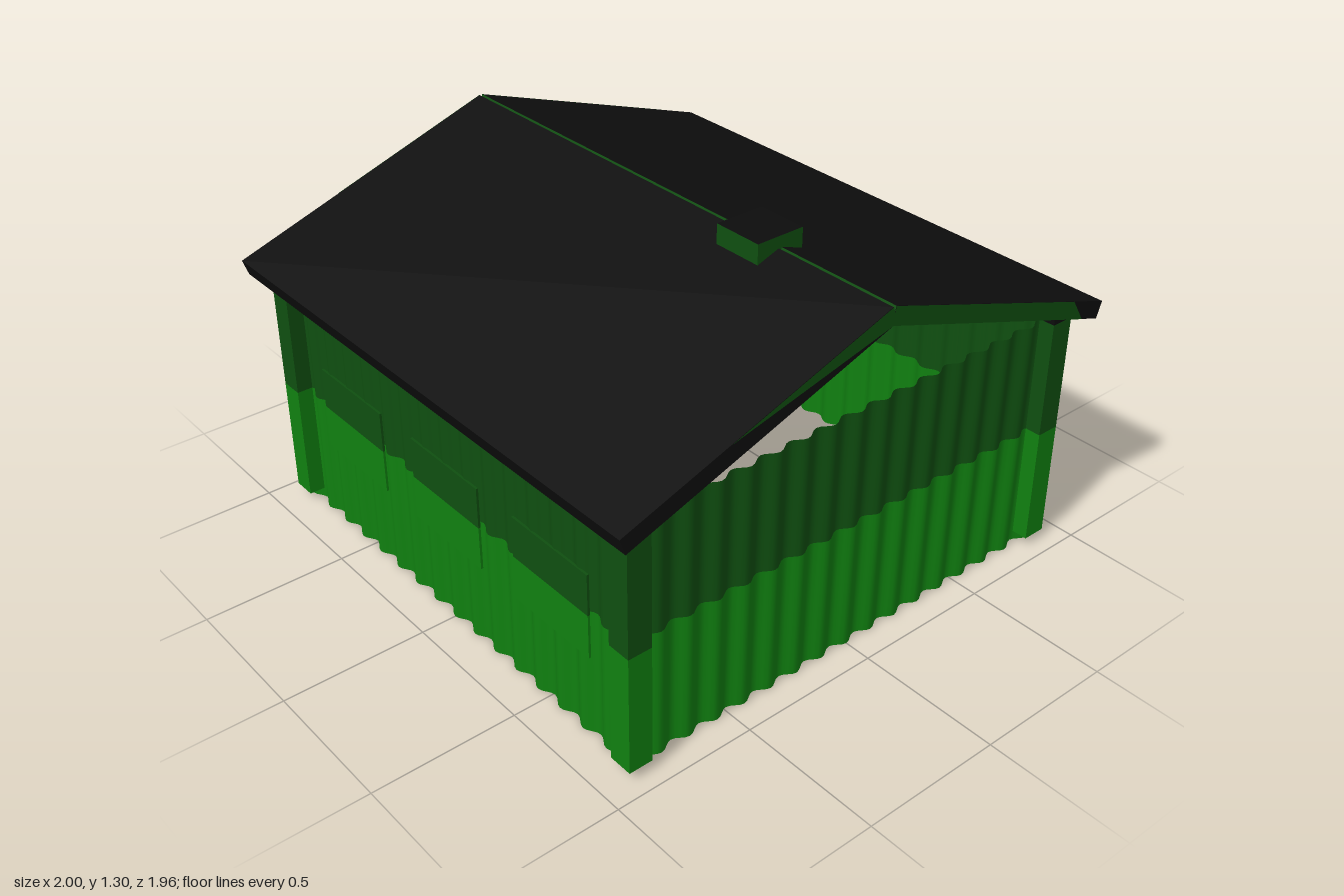
import * as THREE from 'three';

const SPLIT = 0.455; // height where the light paint meets the dark paint
const TOP = 0.87;    // top of the walls

export function createModel() {
  const shed = new THREE.Group();
  shed.name = 'shed';

  const material = (name, color, side = THREE.DoubleSide) => {
    const m = new THREE.MeshStandardMaterial({ color, side });
    m.name = name;
    return m;
  };
  const green = material('bright green', 0x108010);
  const darkGreen = material('dark green', 0x0f4f10);
  const black = material('black', 0x0d0d0d, THREE.FrontSide);

  const add = (parent, name, geometry, mat, x = 0, y = 0, z = 0) => {
    const mesh = new THREE.Mesh(geometry, mat);
    mesh.name = name;
    mesh.position.set(x, y, z);
    parent.add(mesh);
    return mesh;
  };

  // Box between two heights, painted in the two greens; caps may differ
  function twoTone(name, w, d, y0, y1, x, z, cap) {
    const group = new THREE.Group();
    group.name = name;
    const bands = [[y0, SPLIT, green], [SPLIT, y1, darkGreen]];
    for (const [a, b, m] of bands) {
      add(group, name + 'Band', new THREE.BoxGeometry(w, b - a, d),
        [m, m, cap || m, cap || m, m, m], x, (a + b) / 2, z);
    }
    shed.add(group);
    return group;
  }

  // Corrugated sheet walls
  const WAVES = 16, AMPLITUDE = 0.012;
  function wall(name, width, distance, angle) {
    const group = new THREE.Group();
    group.name = name;
    for (const [a, b, m] of [[0, SPLIT, green], [SPLIT, TOP, darkGreen]]) {
      const sheet = new THREE.PlaneGeometry(width, b - a, WAVES * 8, 1);
      const p = sheet.attributes.position;
      for (let i = 0; i < p.count; i++) {
        p.setZ(i, AMPLITUDE * Math.cos((p.getX(i) / width + 0.5) * WAVES * 2 * Math.PI));
      }
      sheet.computeVertexNormals();
      add(group, name + 'Sheet', sheet, m, 0, (a + b) / 2, distance);
    }
    group.rotation.y = angle;
    shed.add(group);
  }
  wall('frontWall', 1.80, 0.863, 0);
  wall('backWall', 1.80, 0.863, Math.PI);
  wall('leftWall', 1.74, 0.893, Math.PI / 2);
  wall('rightWall', 1.74, 0.893, -Math.PI / 2);

  // Corner posts with black ends
  for (const x of [-1, 1]) {
    for (const z of [-1, 1]) {
      const post = twoTone('cornerPost', 0.085, 0.085, 0.035, TOP, x * 0.8975, z * 0.8675, black);
      add(post, 'postCap', new THREE.BoxGeometry(0.085, 0.03, 0.085), black,
        x * 0.8975, TOP + 0.015, z * 0.8675);
    }
  }

  // Windows on the front, door on the back
  for (const x of [-0.54, 0, 0.54]) twoTone('window', 0.36, 0.008, 0.3, 0.6, x, 0.875);
  twoTone('door', 0.48, 0.012, 0, 0.74, 0, -0.88);

  // Roof slabs, with painted wedges on the gable ends
  const THICK = 0.06, LENGTH = 1.028, PITCH = 0.327;
  function roofSlab(name, side, wedge) {
    const slab = new THREE.Group();
    slab.name = name;
    slab.rotation.order = 'YXZ';
    slab.rotation.set(PITCH, side > 0 ? 0 : Math.PI, 0);
    slab.position.set(0, 1.26, side * 0.006);
    add(slab, 'roofPanel', new THREE.BoxGeometry(1.997, THICK, LENGTH),
      [black, black, black, black, black, darkGreen], 0, -THICK / 2, LENGTH / 2);
    const shape = new THREE.Shape(wedge.map(([u, v]) => new THREE.Vector2(u, v)));
    for (const x of [-1, 1]) {
      const trim = add(slab, 'gableTrim', new THREE.ShapeGeometry(shape), darkGreen, x, 0, 0);
      trim.rotation.y = -Math.PI / 2;
    }
    shed.add(slab);
  }
  roofSlab('frontRoof', 1, [[0, 0], [0, -THICK], [0.63, 0]]);
  roofSlab('backRoof', -1, [[0, 0], [0, -THICK], [0.945, -THICK], [0.87, 0]]);

  // Chimney through the ridge
  const chimney = new THREE.Group();
  chimney.name = 'chimney';
  add(chimney, 'chimneyStack', new THREE.BoxGeometry(0.18, 0.23, 0.18),
    [darkGreen, darkGreen, black, black, darkGreen, darkGreen], 0.447, 1.185, 0);
  add(chimney, 'chimneyBase', new THREE.BoxGeometry(0.18, 0.04, 0.18), black, 0.447, 1.05, 0);
  shed.add(chimney);

  return shed;
}
